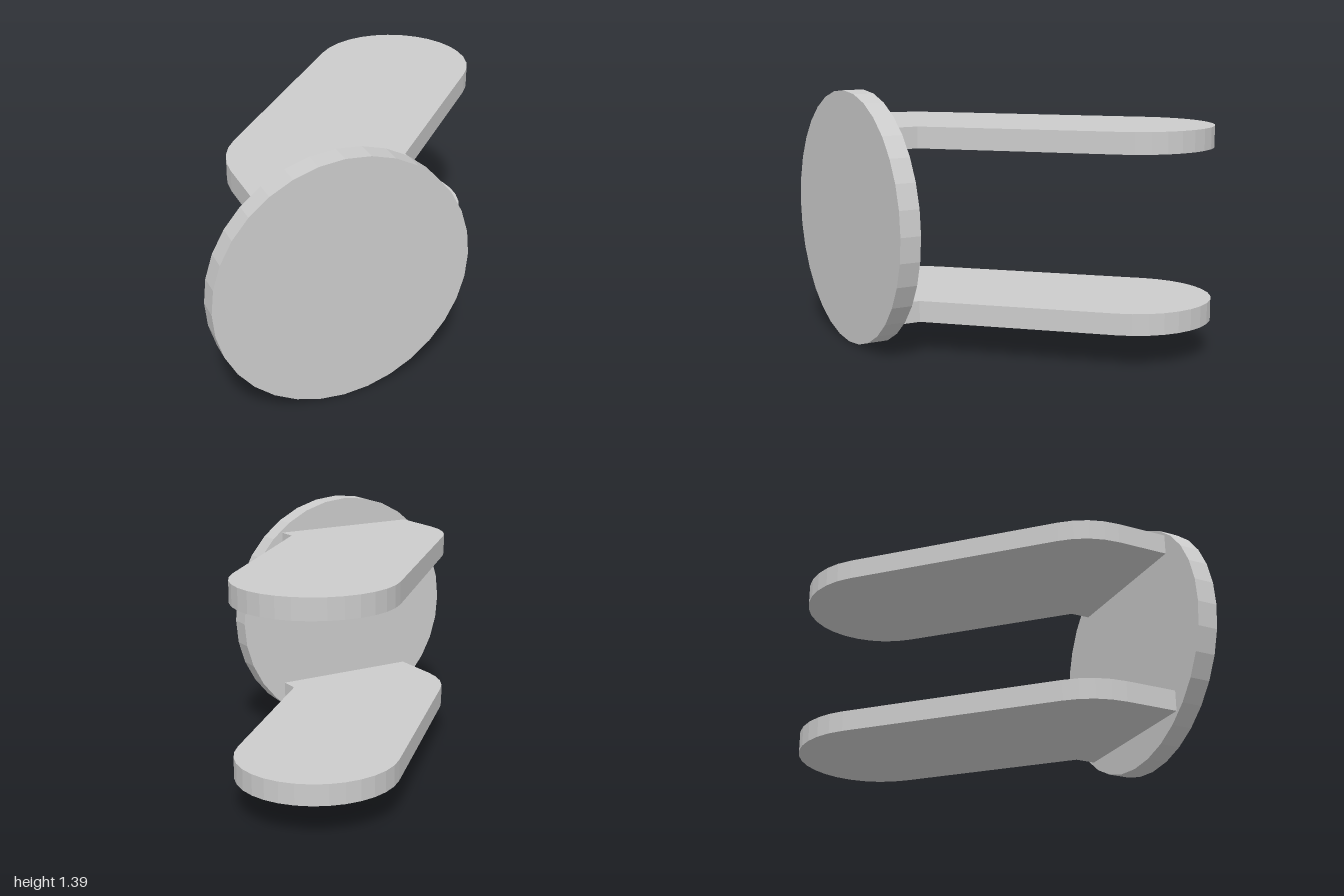
import * as THREE from 'three';

const material = new THREE.MeshStandardMaterial({ color: 0xcccccc, flatShading: true });
const R = 0.432; // half width of an arm
const THICK = 0.114;

// Points along an arc, one every 11.25 degrees
function arc(cx, cy, fromDeg, toDeg) {
  const n = Math.round((toDeg - fromDeg) / 11.25);
  return Array.from({ length: n + 1 }, (_, i) => {
    const a = THREE.MathUtils.degToRad(fromDeg + ((toDeg - fromDeg) * i) / n);
    return new THREE.Vector2(cx + R * Math.cos(a), cy + R * Math.sin(a));
  });
}

// Bent arm outline in plan (shape y is -z): rounded tip, rounded elbow, square root
function armGeometry() {
  const outline = [
    ...arc(0.567, 0.424, -45, 135),
    ...arc(-0.305, -0.448, 135, 180),
    new THREE.Vector2(-0.737, -0.741),
    new THREE.Vector2(0.127, -0.741),
    new THREE.Vector2(0.127, -0.627),
  ];
  return new THREE.ExtrudeGeometry(new THREE.Shape(outline), { depth: THICK, bevelEnabled: false })
    .rotateX(-Math.PI / 2);
}

export function createModel() {
  const model = new THREE.Group();

  // Round upright plate at the front
  const plate = new THREE.Mesh(
    new THREE.CylinderGeometry(0.695, 0.695, THICK, 32).rotateX(Math.PI / 2), material);
  plate.name = 'roundPlate';
  plate.position.set(-0.305, 0.695, 0.798);
  model.add(plate);

  // Two identical arms, one above the other
  const geometry = armGeometry();
  for (const [name, y] of [['lowerArm', 0.178], ['upperArm', 1.106]]) {
    const arm = new THREE.Mesh(geometry, material);
    arm.name = name;
    arm.position.y = y;
    model.add(arm);
  }
  return model;
}
